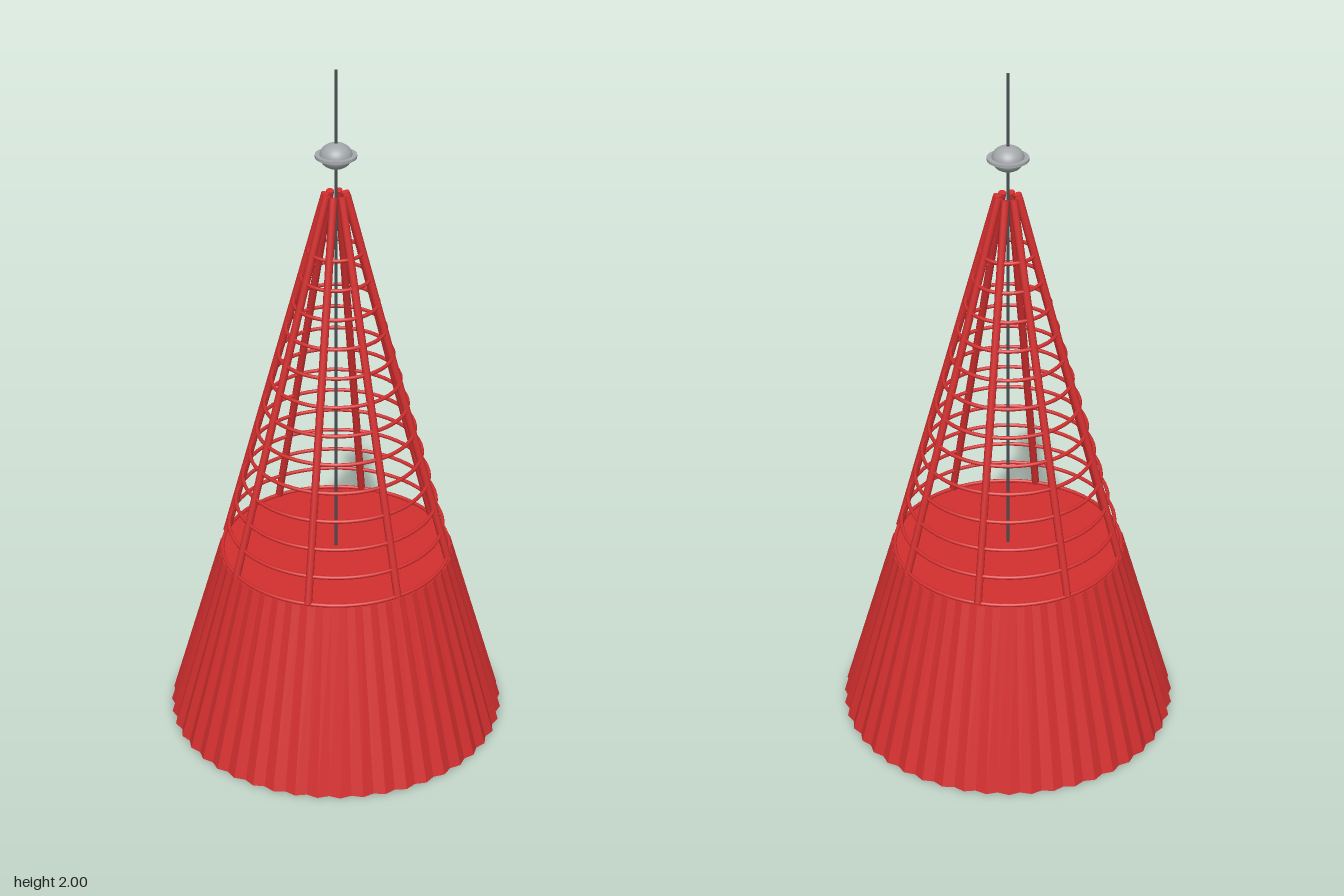
import * as THREE from 'three';

export function createModel() {
  const model = new THREE.Group();
  const material = (name, color) => {
    const m = new THREE.MeshStandardMaterial({ color });
    m.name = name;
    return m;
  };
  const red = material('red paint', 0xd32f2f);
  const redFlat = red.clone();
  redFlat.flatShading = true;
  const grey = material('light grey metal', 0xa4a8ab);
  const dark = material('dark grey metal', 0x4a4e52);

  const add = (name, geometry, mat, y = 0, parent = model) => {
    const mesh = new THREE.Mesh(geometry, mat);
    mesh.name = name;
    mesh.position.y = y;
    parent.add(mesh);
    return mesh;
  };

  // Pleated base: every other column of a tapered drum is pulled inward
  const pleats = 48, deckY = 0.54;
  const base = new THREE.CylinderGeometry(0.342, 0.5, deckY, pleats * 2, 1);
  const p = base.attributes.position;
  for (let i = 0; i < p.count; i++) {
    const x = p.getX(i), z = p.getZ(i);
    if (Math.hypot(x, z) < 0.01) continue;
    const column = Math.round(Math.atan2(x, z) / Math.PI * pleats);
    if (column % 2 === 0) continue;
    const k = p.getY(i) < 0 ? 0.978 : 0.985;
    p.setX(i, x * k);
    p.setZ(i, z * k);
  }
  add('pleatedBase', base, redFlat, deckY / 2);

  // Eight leaning ribs
  const lowY = 0.545, topY = 1.65, lowR = 0.333, topR = 0.03;
  const radiusAt = (y) => lowR + (topR - lowR) * (y - lowY) / (topY - lowY);
  const ribs = new THREE.Group();
  ribs.name = 'ribs';
  model.add(ribs);
  for (let i = 0; i < 8; i++) {
    const a = i * Math.PI / 4;
    const at = (r, y) => new THREE.Vector3(Math.sin(a) * r, y, Math.cos(a) * r);
    const low = at(lowR, lowY), top = at(topR, topY);
    const dir = top.clone().sub(low);
    const rib = add('rib', new THREE.CylinderGeometry(0.011, 0.011, dir.length(), 10), red, 0, ribs);
    rib.position.copy(low).add(top).multiplyScalar(0.5);
    rib.quaternion.setFromUnitVectors(new THREE.Vector3(0, 1, 0), dir.normalize());
  }

  // Horizontal hoops up the cage
  const hoops = new THREE.Group();
  hoops.name = 'hoops';
  model.add(hoops);
  for (let i = 0; i < 13; i++) {
    const y = lowY + i * 0.0783;
    add('hoop', new THREE.TorusGeometry(radiusAt(y), 0.0055, 8, 64).rotateX(Math.PI / 2), red, y, hoops);
  }

  // Mast from the deck to the tip
  add('mast', new THREE.CylinderGeometry(0.004, 0.004, 2 - deckY, 10), dark, (2 + deckY) / 2);

  // Flattened ball with a thin collar
  add('ball', new THREE.SphereGeometry(0.045, 32, 20).scale(1, 0.8, 1), grey, 1.76);
  add('ballCollar', new THREE.CylinderGeometry(0.057, 0.057, 0.008, 40), grey, 1.76);

  return model;
}
